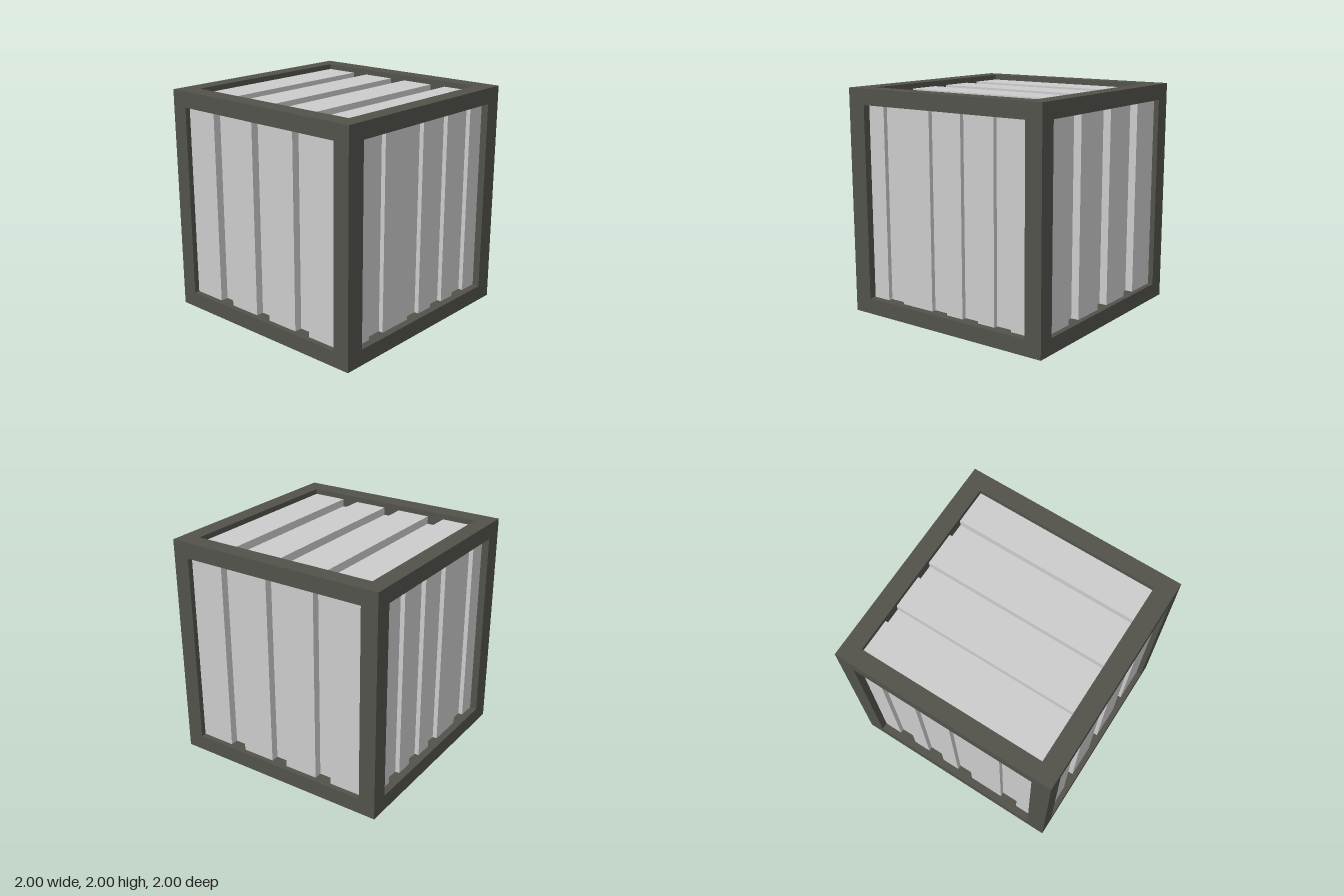
import * as THREE from 'three';

export function createModel() {
  const model = new THREE.Group();
  model.name = 'crate';
  const frameMat = new THREE.MeshStandardMaterial({ color: 0x52524b });
  const panelMat = new THREE.MeshStandardMaterial({ color: 0xcccccc });

  // Box given by its minimum and maximum corners
  function box(name, parent, mat, [x0, y0, z0], [x1, y1, z1]) {
    const mesh = new THREE.Mesh(new THREE.BoxGeometry(x1 - x0, y1 - y0, z1 - z0), mat);
    mesh.position.set((x0 + x1) / 2, (y0 + y1) / 2, (z0 + z1) / 2);
    mesh.name = name;
    parent.add(mesh);
  }
  function group(name) {
    const g = new THREE.Group();
    g.name = name;
    model.add(g);
    return g;
  }

  // Limits of the openings in the frame
  const X = 0.85, Y0 = 0.14, Y1 = 1.86, Z0 = -0.845, Z1 = 0.83;
  const xBands = [[-1, -X], [X, 1]];
  const yBands = [[0, Y0], [Y1, 2]];
  const zBands = [[-1, Z0], [Z1, 1]];

  // Frame: four posts and eight rails
  const frame = group('frame');
  for (const [x0, x1] of xBands)
    for (const [z0, z1] of zBands) box('cornerPost', frame, frameMat, [x0, 0, z0], [x1, 2, z1]);
  for (const [y0, y1] of yBands) {
    for (const [z0, z1] of zBands) box('crossRail', frame, frameMat, [-X, y0, z0], [X, y1, z1]);
    for (const [x0, x1] of xBands) box('sideRail', frame, frameMat, [x0, y0, Z0], [x1, y1, Z1]);
  }

  // Inner box forming the groove floors, and the flush base
  const coreX = 0.895, coreZ = 0.883, coreTop = 1.883;
  const panels = group('panels');
  box('innerBox', panels, panelMat, [-coreX, 0.05, -coreZ], [coreX, coreTop, coreZ]);
  box('basePanel', panels, panelMat, [-X, 0, Z0], [X, 0.06, Z1]);

  // Raised slats on front, back and top
  const slats = group('slats');
  const face = 0.953;
  const wide = [[-X, -0.54], [-0.385, -0.08], [0.075, 0.38], [0.535, X]];
  for (const [a, b] of wide) {
    box('frontSlat', slats, panelMat, [a, Y0, coreZ - 0.02], [b, Y1, face]);
    box('backSlat', slats, panelMat, [a, Y0, -face], [b, Y1, 0.02 - coreZ]);
    box('topSlat', slats, panelMat, [a, coreTop - 0.02, Z0], [b, 1.953, Z1]);
  }

  // Narrower, uneven slats on both sides
  const side = [[Z0, -0.67], [-0.5, -0.335], [-0.17, 0], [0.16, 0.49], [0.663, Z1]];
  for (const [a, b] of side) {
    box('leftSlat', slats, panelMat, [coreX - 0.02, Y0, a], [0.935, Y1, b]);
    box('rightSlat', slats, panelMat, [-0.935, Y0, a], [0.02 - coreX, Y1, b]);
  }
  return model;
}
